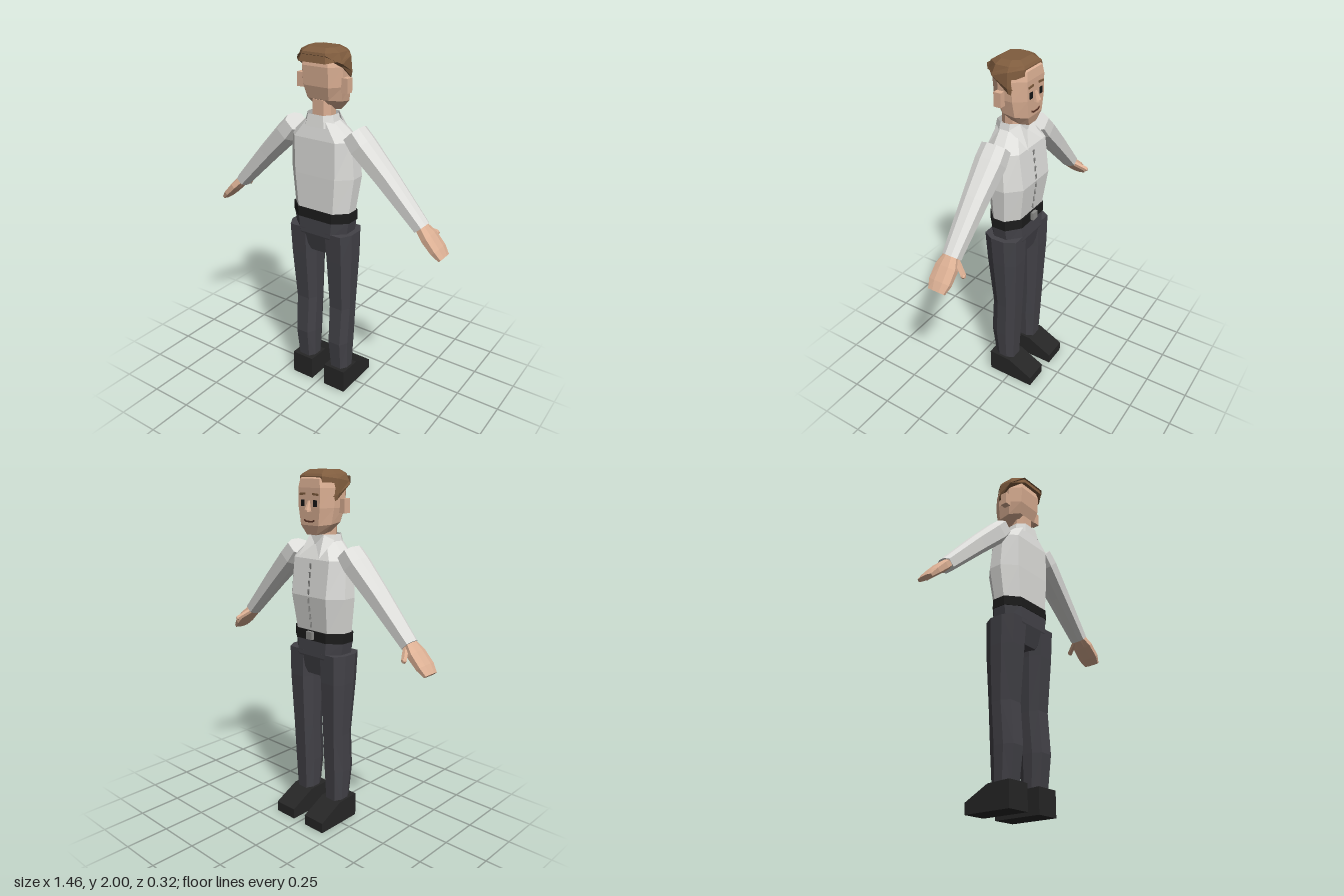
import * as THREE from 'three';

const mat = (name, color, opts = {}) => {
  const m = new THREE.MeshStandardMaterial({ color, flatShading: true, ...opts });
  m.name = name;
  return m;
};

// Loft of eight-sided rings: [y, x0, x1, z0, z1, flat share in x, flat share in z, rise to the back]
function loft(rings, capped = true) {
  const pos = [], idx = [], n = 8;
  for (const [y, x0, x1, z0, z1, fx = 0.6, fz = 0.4, tilt = 0] of rings) {
    const corners = [[1, fz], [1, -fz], [fx, -1], [-fx, -1], [-1, -fz], [-1, fz], [-fx, 1], [fx, 1]];
    for (const [u, v] of corners)
      pos.push((x0 + x1) / 2 + u * (x1 - x0) / 2, y + tilt * v, (z0 + z1) / 2 + v * (z1 - z0) / 2);
  }
  for (let r = 0; r < rings.length - 1; r++)
    for (let i = 0; i < n; i++) {
      const a = r * n + i, b = r * n + (i + 1) % n;
      idx.push(a, b, b + n, a, b + n, a + n);
    }
  const t = (rings.length - 1) * n;
  if (capped) for (let i = 1; i < n - 1; i++) idx.push(0, i + 1, i, t, t + i, t + i + 1);
  return flat(pos, idx);
}

function flat(pos, idx) {
  const g = new THREE.BufferGeometry();
  g.setAttribute('position', new THREE.Float32BufferAttribute(pos, 3));
  g.setIndex(idx);
  const out = g.toNonIndexed();
  out.computeVertexNormals();
  return out;
}

// Mirror across x, keeping the faces outward
function mirrored(geo) {
  const g = geo.index ? geo.toNonIndexed() : geo.clone();
  const p = g.attributes.position;
  const a = new THREE.Vector3(), b = new THREE.Vector3();
  g.scale(-1, 1, 1);
  for (let i = 0; i < p.count; i += 3) {
    a.fromBufferAttribute(p, i + 1);
    b.fromBufferAttribute(p, i + 2);
    p.setXYZ(i + 1, b.x, b.y, b.z);
    p.setXYZ(i + 2, a.x, a.y, a.z);
  }
  g.computeVertexNormals();
  return g;
}

const box = (w, h, d, x, y, z, rx = 0, rz = 0) =>
  new THREE.BoxGeometry(w, h, d).rotateX(rx).rotateZ(rz).translate(x, y, z);

export function createModel() {
  const model = new THREE.Group();
  model.name = 'standingMan';
  const skin = mat('skin', 0xdcb094);
  const hair = mat('hair', 0x7f5c3e);
  const shirt = mat('shirt', 0xdededb);
  const collarCloth = mat('collar cloth', 0xdededb, { side: THREE.DoubleSide });
  const trousers = mat('trousers', 0x434248);
  const belt = mat('belt black', 0x1c1c1c);
  const shoe = mat('shoe black', 0x262626);
  const metal = mat('grey', 0x8c8c8a);
  const dark = mat('eye black', 0x151515);
  const lip = mat('lip brown', 0x5a3426);

  const add = (name, geo, material) => {
    const m = new THREE.Mesh(geo, material);
    m.name = name;
    model.add(m);
  };
  const pair = (name, geo, material) => {
    add(name + 'Left', geo, material);
    add(name + 'Right', mirrored(geo), material);
  };

  // Shoes: wedge profile, toes toward -z
  const side = new THREE.Shape([[-0.13, 0], [0.16, 0], [0.16, 0.06], [0.01, 0.135], [-0.13, 0.14]]
    .map(([x, y]) => new THREE.Vector2(x, y)));
  pair('shoe', new THREE.ExtrudeGeometry(side, { depth: 0.14, bevelEnabled: false })
    .rotateY(Math.PI / 2).translate(0.045, 0, 0), shoe);

  // Legs and hips
  pair('leg', loft([
    [0.12, 0.06, 0.17, -0.015, 0.108],
    [0.32, 0.052, 0.178, -0.025, 0.13],
    [0.55, 0.048, 0.182, -0.037, 0.113],
    [0.86, 0.04, 0.196, -0.052, 0.138],
    [1.025, 0.03, 0.2, -0.054, 0.148],
  ]), trousers);
  add('hips', loft([
    [0.89, -0.075, 0.075, -0.035, 0.12],
    [1.0, -0.165, 0.165, -0.055, 0.148],
    [1.1, -0.18, 0.18, -0.05, 0.147],
  ]), trousers);
  add('belt', loft([1.09, 1.145].map(y => [y, -0.182, 0.182, -0.056, 0.15])), belt);
  add('buckle', box(0.042, 0.044, 0.022, 0, 1.12, -0.063), metal);

  // Shirt body
  add('torso', loft([
    [1.13, -0.175, 0.175, -0.046, 0.142, 0.63, 0.35],
    [1.34, -0.2, 0.2, -0.076, 0.146, 0.63, 0.35],
    [1.54, -0.188, 0.188, -0.052, 0.145, 0.68, 0.35],
    [1.635, -0.085, 0.085, 0.0, 0.128, 0.7, 0.4],
  ]), shirt);

  // Dashed button strip following the chest
  for (let i = 0; i < 8; i++) {
    const y = 1.18 + i * 0.046;
    const low = y < 1.34;
    const z = low ? -0.046 - (y - 1.13) * 0.143 : -0.076 + (y - 1.34) * 0.12;
    add('buttonStrip', box(0.01, 0.032, 0.006, 0, y, z - 0.001, low ? 0.142 : -0.12), metal);
  }

  // Collar band and its two front flaps
  add('collarBand', loft([
    [1.605, -0.095, 0.095, -0.012, 0.142, 0.6, 0.4],
    [1.668, -0.078, 0.078, -0.005, 0.132, 0.6, 0.4],
  ], false), collarCloth);
  pair('collarFlap', flat([
    0.004, 1.62, -0.022, 0.05, 1.668, -0.008, 0.092, 1.64, 0.03, 0.075, 1.55, -0.073,
  ], [0, 3, 1, 1, 3, 2]), collarCloth);

  // Sleeves and hands, lofted upright and then swung outward
  const swing = 0.76;
  pair('sleeve', loft([
    [0.435, 1.19, 1.266, 0.0, 0.09],
    [0.74, 1.174, 1.278, -0.016, 0.108],
    [0.94, 1.16, 1.28, -0.028, 0.122],
    [1.02, 1.17, 1.278, -0.024, 0.118],
  ]).rotateZ(swing), shirt);
  pair('hand', loft([
    [0.25, 1.222, 1.246, 0.0, 0.095],
    [0.3, 1.214, 1.256, -0.014, 0.108],
    [0.38, 1.207, 1.26, -0.014, 0.105],
    [0.46, 1.205, 1.256, 0.015, 0.08],
  ]).rotateZ(swing), skin);
  const from = new THREE.Vector3(0.59, 1.15, 0.015), to = new THREE.Vector3(0.63, 1.108, -0.052);
  pair('thumb', new THREE.TubeGeometry(new THREE.LineCurve3(from, to), 1, 0.015, 5), skin);
  pair('thumbTip', new THREE.IcosahedronGeometry(0.015, 0).translate(to.x, to.y, to.z), skin);

  // Neck and head
  add('neck', loft([1.6, 1.74].map(y => [y, -0.058, 0.058, -0.002, 0.11])), skin);
  add('head', loft([
    [1.68, -0.062, 0.062, -0.05, 0.07, 0.55, 0.4, 0.012],
    [1.73, -0.108, 0.108, -0.065, 0.108, 0.58, 0.4, 0.012],
    [1.81, -0.123, 0.123, -0.068, 0.128, 0.62],
    [1.91, -0.125, 0.125, -0.068, 0.135, 0.62],
    [1.955, -0.115, 0.115, -0.062, 0.125],
    [1.985, -0.08, 0.08, -0.03, 0.1],
  ]), skin);
  pair('ear', box(0.04, 0.075, 0.042, 0.136, 1.82, 0.055), skin);
  add('nose', loft([
    [1.79, -0.016, 0.016, -0.094, -0.05],
    [1.8, -0.014, 0.014, -0.094, -0.05],
    [1.845, -0.006, 0.006, -0.072, -0.05],
  ]), skin);

  // Hair: low at the nape, rising to the forehead
  add('hair', loft([
    [1.885, -0.132, 0.132, -0.058, 0.152, 0.6, 0.4, 0.083],
    [1.905, -0.139, 0.139, -0.056, 0.16, 0.6, 0.4, 0.06],
    [1.95, -0.132, 0.132, -0.054, 0.16, 0.6, 0.4, -0.018],
    [1.98, -0.115, 0.115, -0.045, 0.145, 0.6, 0.4],
    [2.0, -0.078, 0.078, -0.012, 0.112, 0.65, 0.45],
  ]), hair);

  // Painted face details
  pair('eye', box(0.024, 0.034, 0.006, 0.045, 1.832, -0.068), dark);
  pair('eyebrow', box(0.042, 0.011, 0.008, 0.046, 1.878, -0.068, 0, -0.08), hair);
  add('mouth', box(0.044, 0.008, 0.006, 0, 1.738, -0.066), lip);
  pair('mouthCorner', box(0.018, 0.008, 0.006, 0.029, 1.742, -0.066, 0, 0.5), lip);

  return model;
}
